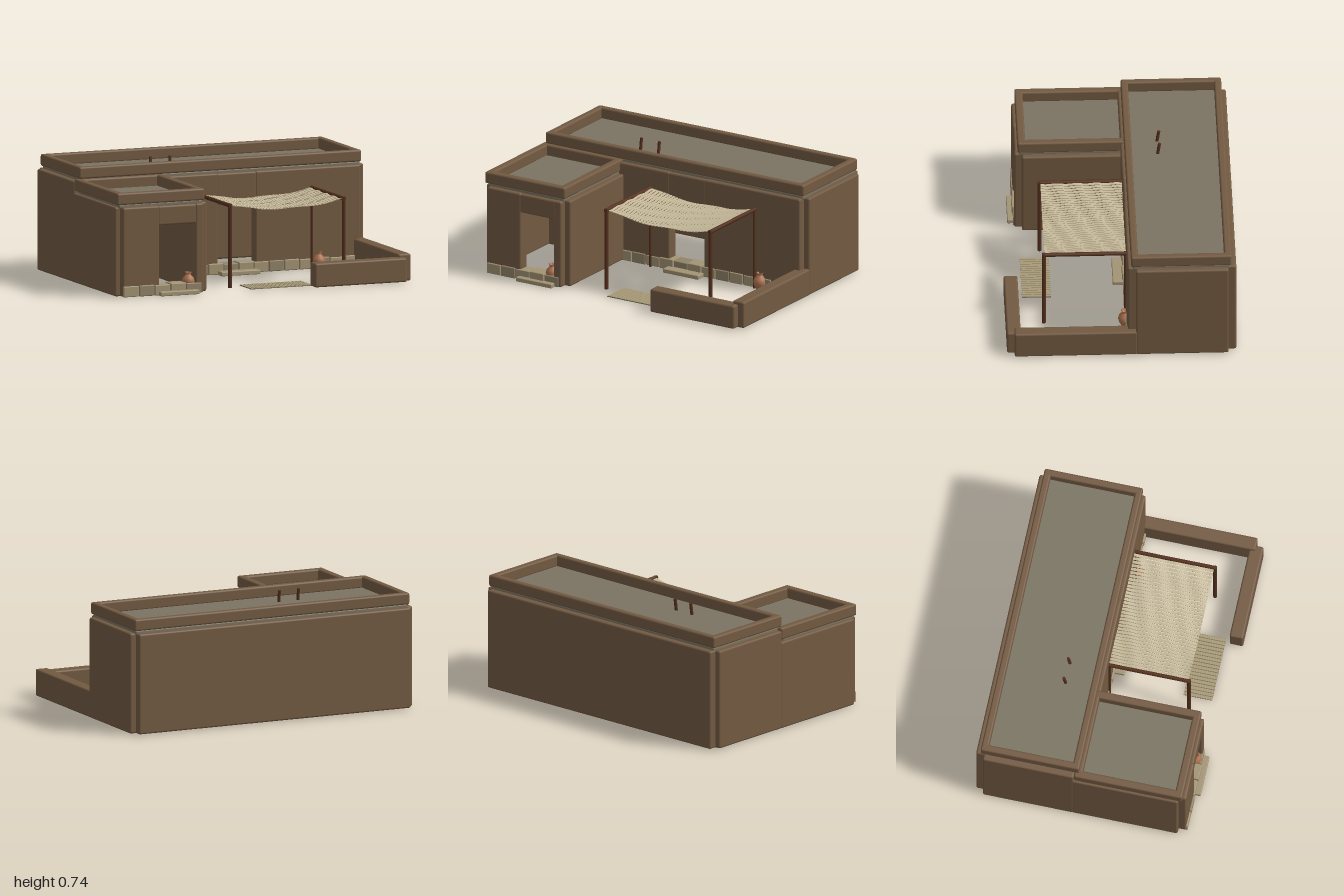
import * as THREE from 'three';
import { RoundedBoxGeometry } from 'three/addons/geometries/RoundedBoxGeometry.js';

const mat = (name, color, side = THREE.FrontSide) => {
  const m = new THREE.MeshStandardMaterial({ color, side });
  m.name = name;
  return m;
};

export function createModel() {
  const root = new THREE.Group();
  root.name = 'courtyardHouse';
  const mud = mat('mudBrick', 0x735a42);
  const roofMat = mat('roofPlaster', 0x7b7462);
  const stone = mat('paleStone', 0xa39474);
  const stoneDark = mat('greyStone', 0x918468);
  const wood = mat('darkWood', 0x54301d);
  const clay = mat('terracotta', 0xac7350, THREE.DoubleSide);
  const reed = mat('reed', 0xc6b999);
  const matting = mat('matting', 0xa89a78);
  const mattingDark = mat('mattingDark', 0x7a6e55);

  const group = (name) => {
    const g = new THREE.Group();
    g.name = name;
    root.add(g);
    return g;
  };
  const add = (parent, name, geo, m) => {
    const mesh = new THREE.Mesh(geo, m);
    mesh.name = name;
    parent.add(mesh);
    return mesh;
  };
  // Box given by its two corners, with softened edges when r > 0
  const box = (parent, name, m, x0, x1, y0, y1, z0, z1, r = 0.012) => {
    const s = [x1 - x0, y1 - y0, z1 - z0];
    const geo = r > 0 ? new RoundedBoxGeometry(...s, 2, r) : new THREE.BoxGeometry(...s);
    const mesh = add(parent, name, geo, m);
    mesh.position.set((x0 + x1) / 2, (y0 + y1) / 2, (z0 + z1) / 2);
    return mesh;
  };
  // Round bar between two points
  const bar = (parent, name, a, b, r, m = wood) => {
    const p = new THREE.Vector3(...a), q = new THREE.Vector3(...b);
    const d = q.clone().sub(p);
    const mesh = add(parent, name, new THREE.CylinderGeometry(r, r, d.length(), 8), m);
    mesh.position.copy(p).add(q).multiplyScalar(0.5);
    mesh.quaternion.setFromUnitVectors(new THREE.Vector3(0, 1, 0), d.normalize());
    return mesh;
  };
  // Four low walls around a roof
  const parapet = (parent, x0, x1, y0, y1, z0, z1, t) => {
    box(parent, 'parapetFront', mud, x0, x1, y0, y1, z1 - t, z1);
    box(parent, 'parapetBack', mud, x0, x1, y0, y1, z0, z0 + t);
    box(parent, 'parapetRight', mud, x0, x0 + t, y0, y1, z0, z1);
    box(parent, 'parapetLeft', mud, x1 - t, x1, y0, y1, z0, z1);
  };

  // Main house: hollow walls with a doorway
  const house = group('mainHouse');
  box(house, 'backWall', mud, -0.95, 0.95, 0.005, 0.645, -0.72, -0.64);
  box(house, 'rightSideWall', mud, -0.985, -0.905, 0.005, 0.645, -0.67, -0.09);
  box(house, 'leftSideWall', mud, 0.91, 0.99, 0.005, 0.645, -0.67, -0.09);
  box(house, 'frontWallRight', mud, -0.95, -0.02, 0.005, 0.645, -0.12, -0.04);
  box(house, 'frontWallLeft', mud, 0.235, 0.95, 0.005, 0.645, -0.12, -0.04);
  box(house, 'doorLintel', mud, -0.03, 0.245, 0.445, 0.643, -0.117, -0.042);
  box(house, 'roof', roofMat, -0.945, 0.955, 0.63, 0.665, -0.68, -0.07);
  parapet(house, -0.955, 0.965, 0.66, 0.735, -0.69, -0.06, 0.045);

  // Side room
  const room = group('sideRoom');
  box(room, 'rightSideWall', mud, -0.985, -0.915, 0.005, 0.57, -0.1, 0.578);
  box(room, 'leftSideWall', mud, -0.43, -0.36, 0.005, 0.57, -0.05, 0.578);
  box(room, 'frontWallRight', mud, -0.95, -0.7, 0.005, 0.57, 0.55, 0.625);
  box(room, 'frontWallLeft', mud, -0.455, -0.4, 0.005, 0.57, 0.55, 0.625);
  box(room, 'doorLintel', mud, -0.71, -0.445, 0.445, 0.568, 0.553, 0.622);
  box(room, 'roof', roofMat, -0.965, -0.395, 0.56, 0.592, -0.06, 0.595);
  parapet(room, -0.98, -0.385, 0.585, 0.66, -0.09, 0.605, 0.05);

  // Stone footing courses and door steps
  const footing = group('stoneFooting');
  const course = (x0, x1, n, z0, z1) => {
    const w = (x1 - x0) / n;
    for (let i = 0; i < n; i++) {
      const j = 0.006 * Math.sin(i * 2.7);
      box(footing, 'footingStone', i % 3 === 1 ? stoneDark : stone, x0 + i * w + 0.002,
        x0 + (i + 1) * w - 0.002, 0.005, 0.073 + j * 0.5, z0, z1 + j * 0.5, 0.006);
    }
  };
  course(-0.95, -0.415, 5, 0.542, 0.634);
  course(-0.4, 0.945, 13, -0.128, -0.032);
  box(footing, 'houseStep', stone, -0.025, 0.24, 0.002, 0.03, -0.04, 0.03, 0.006);
  box(footing, 'roomStep', stone, -0.71, -0.445, 0.002, 0.03, 0.6, 0.667, 0.006);

  // Courtyard walls
  const yard = group('courtyardWall');
  box(yard, 'sideYardWall', mud, 0.905, 0.99, 0.005, 0.177, -0.1, 0.67);
  box(yard, 'frontYardWall', mud, 0.32, 0.945, 0.005, 0.157, 0.63, 0.717);

  // Awning: posts, beams and sagging reed cover
  const awning = group('awning');
  const xa = -0.158, xb = 0.615;
  for (const x of [xa, xb]) {
    bar(awning, 'frontPost', [x, 0, 0.475], [x, 0.53, 0.475], 0.013);
    bar(awning, 'rearPost', [x, 0, -0.035], [x, 0.53, -0.035], 0.009);
    bar(awning, 'sideBeam', [x, 0.52, -0.04], [x, 0.52, 0.485], 0.013);
  }
  const slats = 34, step = (xb - xa - 0.02) / slats;
  for (let i = 0; i < slats; i++) {
    const t = (i + 0.5) / slats, u = 2 * t - 1;
    const geo = new THREE.BoxGeometry(step * 0.8, 0.004, 0.51, 1, 1, 16);
    const p = geo.attributes.position;
    for (let k = 0; k < p.count; k++) {
      p.setY(k, p.getY(k) + 0.004 * Math.sin(p.getZ(k) * 50 + i * 0.4));
    }
    geo.computeVertexNormals();
    const slat = add(awning, 'reedSlat', geo, reed);
    slat.position.set(xa + 0.01 + (i + 0.5) * step, 0.48 + 0.038 * u * u, 0.215);
    slat.rotation.z = Math.atan(0.2 * u);
  }

  // Woven mat on the ground
  const rug = group('groundMat');
  box(rug, 'matBase', mattingDark, -0.07, 0.35, 0.001, 0.005, 0.42, 0.603, 0);
  for (let i = 0; i < 18; i++) {
    const x = -0.07 + i * 0.42 / 18;
    box(rug, 'matStrip', matting, x + 0.002, x + 0.0205, 0.004, 0.008, 0.42, 0.603, 0);
  }

  // Ladder rising through the roof
  const ladder = group('ladder');
  const foot = [0, -0.17], tip = [0.74, -0.28];
  for (const x of [-0.38, -0.247]) {
    bar(ladder, 'ladderRail', [x, foot[0], foot[1]], [x, tip[0], tip[1]], 0.01);
  }
  for (let i = 1; i <= 7; i++) {
    const y = i * 0.08, z = foot[1] + (tip[1] - foot[1]) * y / tip[0];
    bar(ladder, 'ladderRung', [-0.38, y, z], [-0.247, y, z], 0.007);
  }

  // Clay jars: one profile, scaled by radius and height
  const profile = [[0, 0], [0.5, 0], [0.85, 0.22], [1, 0.45], [0.85, 0.66], [0.45, 0.82],
    [0.4, 0.9], [0.55, 1], [0.42, 0.99], [0.3, 0.85], [0, 0.8]];
  const jars = group('clayJars');
  const jar = (x, y, z, r, h) => {
    const pts = profile.map(([a, b]) => new THREE.Vector2(a * r, b * h));
    add(jars, 'jar', new THREE.LatheGeometry(pts, 18), clay).position.set(x, y, z);
  };
  jar(0.77, 0.003, -0.22, 0.085, 0.2);
  jar(0.62, 0.003, -0.2, 0.068, 0.19);
  jar(-0.29, 0.003, -0.23, 0.05, 0.14);
  jar(0.66, 0.003, -0.03, 0.042, 0.11);
  jar(-0.49, 0.03, 0.585, 0.041, 0.105);

  return root;
}
